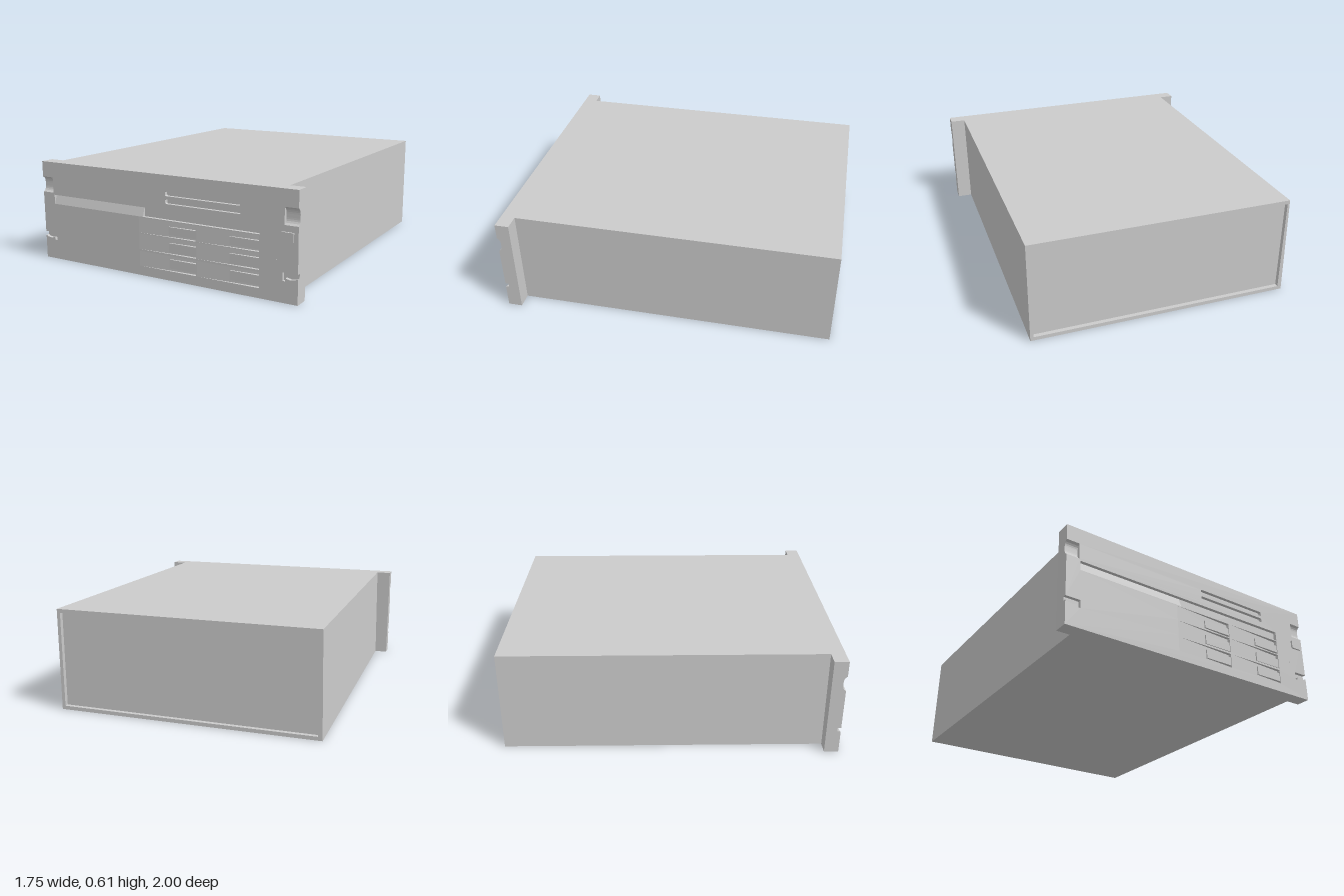
import * as THREE from 'three';

const W = 0.875, H = 0.61;        // front panel half width and height
const BACK = 0.905, FLOOR = 0.97, FACE = 0.99; // panel back, recess floor, panel face

const material = new THREE.MeshStandardMaterial({ color: 0xcccccc, flatShading: true });

export function createModel() {
  const model = new THREE.Group();

  const add = (name, geometry) => {
    const mesh = new THREE.Mesh(geometry, material);
    mesh.name = name;
    model.add(mesh);
    return mesh;
  };
  const box = (name, x0, x1, y0, y1, z0, z1) =>
    add(name, new THREE.BoxGeometry(x1 - x0, y1 - y0, z1 - z0)
      .translate((x0 + x1) / 2, (y0 + y1) / 2, (z0 + z1) / 2));
  const shapeOf = (points) => new THREE.Shape(points.map(([x, y]) => new THREE.Vector2(x, y)));
  const extrude = (shape, depth) =>
    new THREE.ExtrudeGeometry(shape, { depth, bevelEnabled: false, curveSegments: 6 });
  const rect = (x0, x1, y0, y1) => [[x0, y0], [x1, y0], [x1, y1], [x0, y1]];
  // Prism along x from a [z, y] profile
  const prismX = (name, profile, x0, x1) =>
    add(name, extrude(shapeOf(profile.map(([z, y]) => [-z, y])), x1 - x0)
      .rotateY(Math.PI / 2).translate(x0, 0, 0));
  // Prism along y from an [x, z] profile
  const prismY = (name, profile, y0, y1) =>
    add(name, extrude(shapeOf(profile.map(([x, z]) => [x, -z])), y1 - y0)
      .rotateX(-Math.PI / 2).translate(0, y0, 0));

  // Chassis: sleeve with a sunken rear panel; one side leans in slightly
  const sleeve = shapeOf([[-0.795, 0], [0.782, 0], [0.782, H], [-0.783, H]]);
  sleeve.holes.push(shapeOf(rect(-0.77, 0.762, 0.022, H - 0.022)));
  add('chassis', extrude(sleeve, BACK + 1).translate(0, 0, -1));
  box('rearPanel', -0.78, 0.772, 0.012, H - 0.012, -0.975, -0.955);

  // Front panel: solid backing plus a pierced face layer
  box('frontBacking', -W, W, 0, H, BACK, FLOOR);
  const edge = [
    [W, 0], [W, 0.142], [0.858, 0.134], [0.83, 0.13], [0.803, 0.136], [0.8, 0.12],
    [0.785, 0.12], [0.785, 0.167], [W, 0.167],
    [W, 0.42], [0.795, 0.42], [0.795, 0.515], [W, 0.515], [W, H],
  ];
  const mirrored = edge.map(([x, y]) => [-x, y]).reverse();
  const face = shapeOf([...edge, ...mirrored]);

  // Ventilation slots with softened corners
  for (const y of [0.445, 0.49]) {
    const c = 0.005, x0 = 0.05, x1 = 0.535, y1 = y + 0.027;
    face.holes.push(shapeOf([
      [x0 + c, y], [x1 - c, y], [x1, y + c], [x1, y1 - c],
      [x1 - c, y1], [x0 + c, y1], [x0, y1 - c], [x0, y + c],
    ]));
  }

  // Long strip: sloped floor on one part, flat on the rest
  face.holes.push(shapeOf(rect(-0.787, 0.65, 0.351, 0.408)));
  prismX('stripSlope', [[FLOOR, 0.351], [FACE, 0.351], [FLOOR, 0.408]], -0.787, -0.11);

  // Drive bays: floor ramps deeper towards the latch
  for (const [x0, x1] of [[-0.14, 0.25], [0.255, 0.648]]) {
    for (const [y0, y1, l0, l1] of [
      [0.255, 0.345, 0.268, 0.314], [0.157, 0.249, 0.162, 0.22], [0.056, 0.145, 0.071, 0.124],
    ]) {
      face.holes.push(shapeOf(rect(x0, x1, y0, y1)));
      prismY('bayRamp', [[x0, FLOOR], [x1, FLOOR], [x0, FACE]], y0, y1);
      box('bayLatch', x1 - 0.183, x1 - 0.001, l0, l1, FLOOR - 0.005, FACE - 0.003);
    }
  }
  add('frontFace', extrude(face, FACE - FLOOR).translate(0, 0, FLOOR));

  // Scooped floors of the upper finger notches
  const scoop = [[FLOOR - 0.002, 0.42]];
  for (let i = 0; i <= 10; i++) {
    const t = i / 10;
    scoop.push([FLOOR + (FACE - FLOOR) * Math.pow(Math.abs(2 * t - 1), 4), 0.42 + 0.095 * t]);
  }
  scoop.push([FLOOR - 0.002, 0.515]);
  prismX('leftNotchScoop', scoop, 0.795, W);
  prismX('rightNotchScoop', scoop, -W, -0.795);

  // Small blank raised plate and indicator light
  box('blankPlate', 0.78, 0.85, 0.335, 0.385, FACE - 0.002, 1);
  add('indicatorLight', new THREE.CylinderGeometry(0.004, 0.004, 0.006, 8)
    .rotateX(Math.PI / 2).translate(0.75, 0.228, FACE));

  return model;
}
